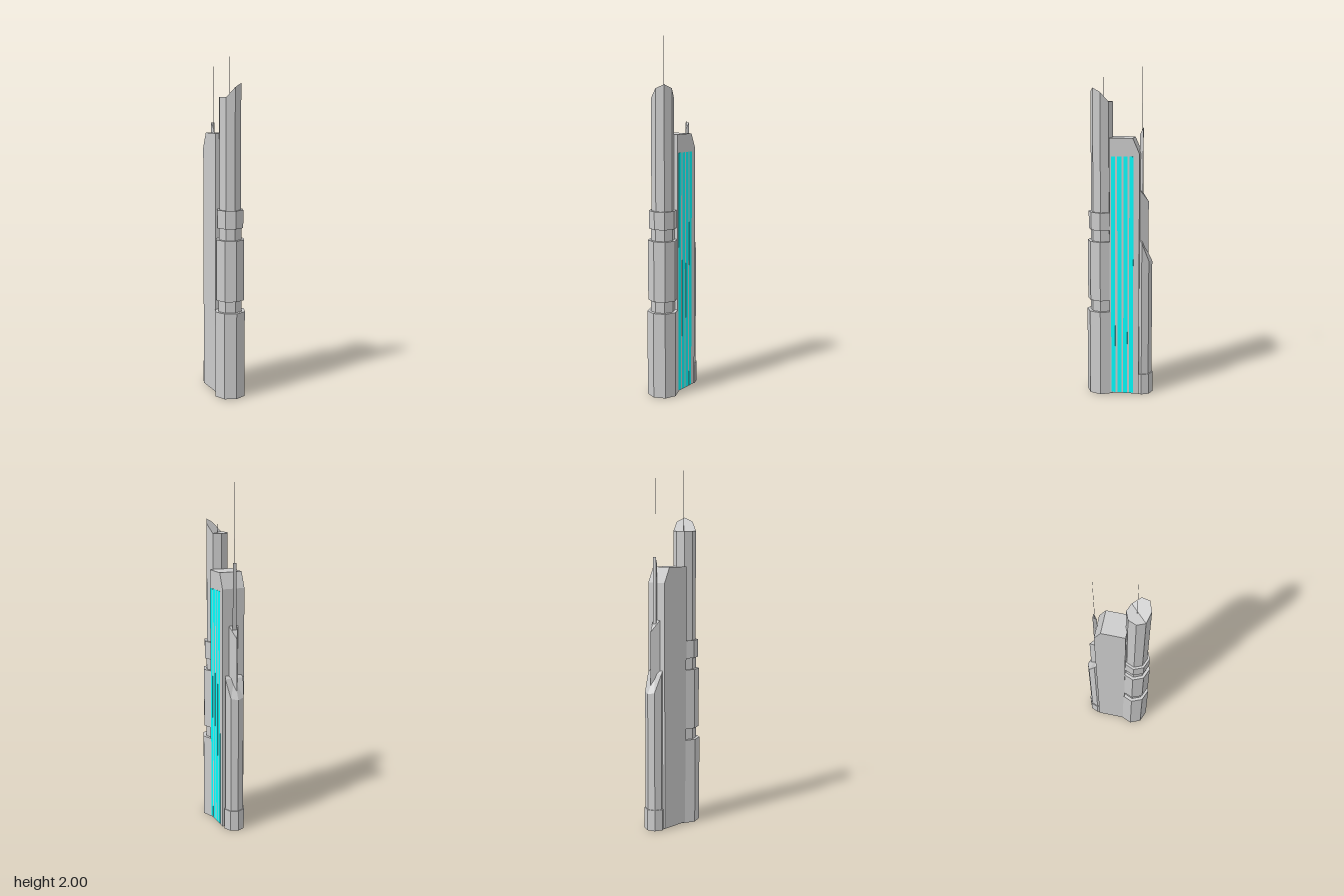
import * as THREE from 'three';

const grey = new THREE.MeshStandardMaterial({ color: 0xcccccc, flatShading: true });
const cyan = new THREE.MeshStandardMaterial({ color: 0x00ffff, flatShading: true });

export function createModel() {
  const model = new THREE.Group();

  function add(name, geometry, material = grey) {
    const mesh = new THREE.Mesh(geometry, material);
    mesh.name = name;
    model.add(mesh);
    return mesh;
  }

  // Upright prism from y0 to y1; an optional rule gives the top height at (x, z)
  function column(name, { r, rTop = r, sides = 8, turn = 0, z, y0, y1, top }) {
    const g = new THREE.CylinderGeometry(rTop, r, y1 - y0, sides, 1, false, turn);
    g.translate(0, (y0 + y1) / 2, z);
    if (top) {
      const p = g.attributes.position;
      for (let i = 0; i < p.count; i++) {
        if (p.getY(i) > (y0 + y1) / 2) p.setY(i, top(p.getX(i), p.getZ(i)));
      }
      g.computeVertexNormals();
    }
    return add(name, g);
  }

  // Front tower: shaft with a slanted crown
  const FZ = 0.1;
  column('frontTowerShaft', {
    r: 0.063, z: FZ, y0: 0, y1: 1.67,
    top: (x, z) => {
      const d = (x + z - FZ) / Math.SQRT2; // distance towards the front left corner
      return 1.67 + 0.075 * Math.max(0, d) / 0.063;
    },
  });

  // Stacked collars of the front tower: radius, bottom, top
  [
    [0.088, 0, 0.49],
    [0.069, 0.49, 0.555],
    [0.083, 0.555, 0.895],
    [0.066, 0.895, 0.96],
    [0.077, 0.96, 1.06],
  ].forEach(([r, y0, y1], i) => column('frontTowerCollar' + (i + 1), { r, z: FZ, y0, y1 }));

  // Central slab: side profile with a chamfered rear edge, extruded across x
  const profile = new THREE.Shape([
    [-0.05, 0.006], [0.117, 0.006], [0.117, 1.39], [0.08, 1.475], [-0.05, 1.475],
  ].map(([a, b]) => new THREE.Vector2(a, b)));
  const slab = new THREE.ExtrudeGeometry(profile, { depth: 0.13, bevelEnabled: false });
  slab.translate(0, 0, -0.065).rotateY(Math.PI / 2); // shape x becomes -z
  add('centralSlab', slab);

  // Light strips on the left face of the slab
  [0.029, -0.006, -0.04, -0.073].forEach((z, i) => {
    const strip = new THREE.BoxGeometry(0.004, 1.365, 0.023);
    strip.translate(0.064, 0.01 + 1.365 / 2, z);
    add('lightStrip' + (i + 1), strip, cyan);
  });

  // Rear tower: foot, slanted octagonal shaft, triangular fin and spike
  const RZ = -0.131;
  column('rearTowerFoot', { r: 0.06, z: RZ, y0: 0, y1: 0.12 });
  column('rearTowerShaft', {
    r: 0.054, z: RZ, y0: 0.12, y1: 0.8,
    top: (x, z) => 0.78 + 0.15 * THREE.MathUtils.clamp((z + 0.172) / 0.055, 0, 1),
  });
  column('rearTowerFin', {
    r: 0.033, sides: 3, turn: Math.PI, z: -0.13, y0: 0.7, y1: 1.15,
    top: (x, z) => 1.12 + 0.07 * (z + 0.163) / 0.0495,
  });
  column('rearTowerSpike', {
    r: 0.013, sides: 3, z: -0.125, y0: 1.1, y1: 1.5,
    top: (x, z) => 1.53 - 0.04 * (z + 0.1315) / 0.0195,
  });

  // Thin antennas
  column('frontAntenna', { r: 0.0015, rTop: 0.0005, sides: 6, z: 0.092, y0: 1.6, y1: 2 });
  column('rearAntenna', { r: 0.0015, rTop: 0.0005, sides: 6, z: -0.123, y0: 1.31, y1: 1.95 });

  return model;
}
